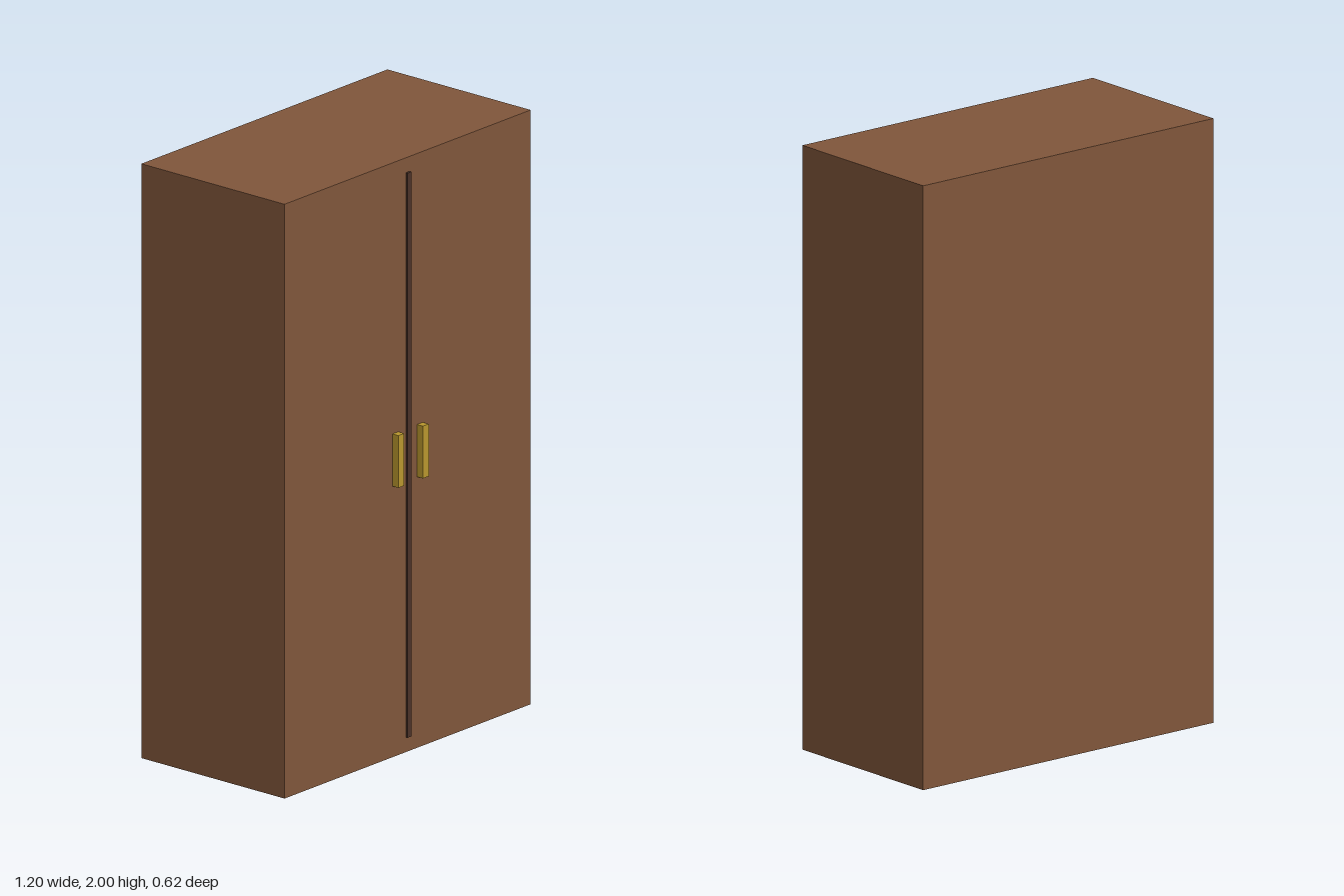
import * as THREE from 'three';

export function createModel() {
  const group = new THREE.Group();
  const paint = (name, color) => {
    const m = new THREE.MeshStandardMaterial({ color });
    m.name = name;
    return m;
  };
  const wood = paint('brown wood', 0x80563b);
  const darkWood = paint('dark wood', 0x4a3228);
  const brass = paint('brass', 0xb8962e);

  const FRONT = 0.2875; // z of the cabinet's front face

  const box = (name, material, [w, h, d], [x, y, z]) => {
    const mesh = new THREE.Mesh(new THREE.BoxGeometry(w, h, d), material);
    mesh.name = name;
    mesh.position.set(x, y, z);
    group.add(mesh);
  };

  // Cabinet body
  box('cabinet', wood, [1.2, 2, 0.6], [0, 1, FRONT - 0.3]);

  // Raised strip where the two doors meet
  box('doorSeam', darkWood, [0.018, 1.9, 0.008], [0, 1, FRONT + 0.004]);

  // One upright handle per door
  for (const [name, side] of [['leftHandle', 1], ['rightHandle', -1]]) {
    box(name, brass, [0.028, 0.176, 0.025], [side * 0.06, 1, FRONT + 0.0125]);
  }

  return group;
}
